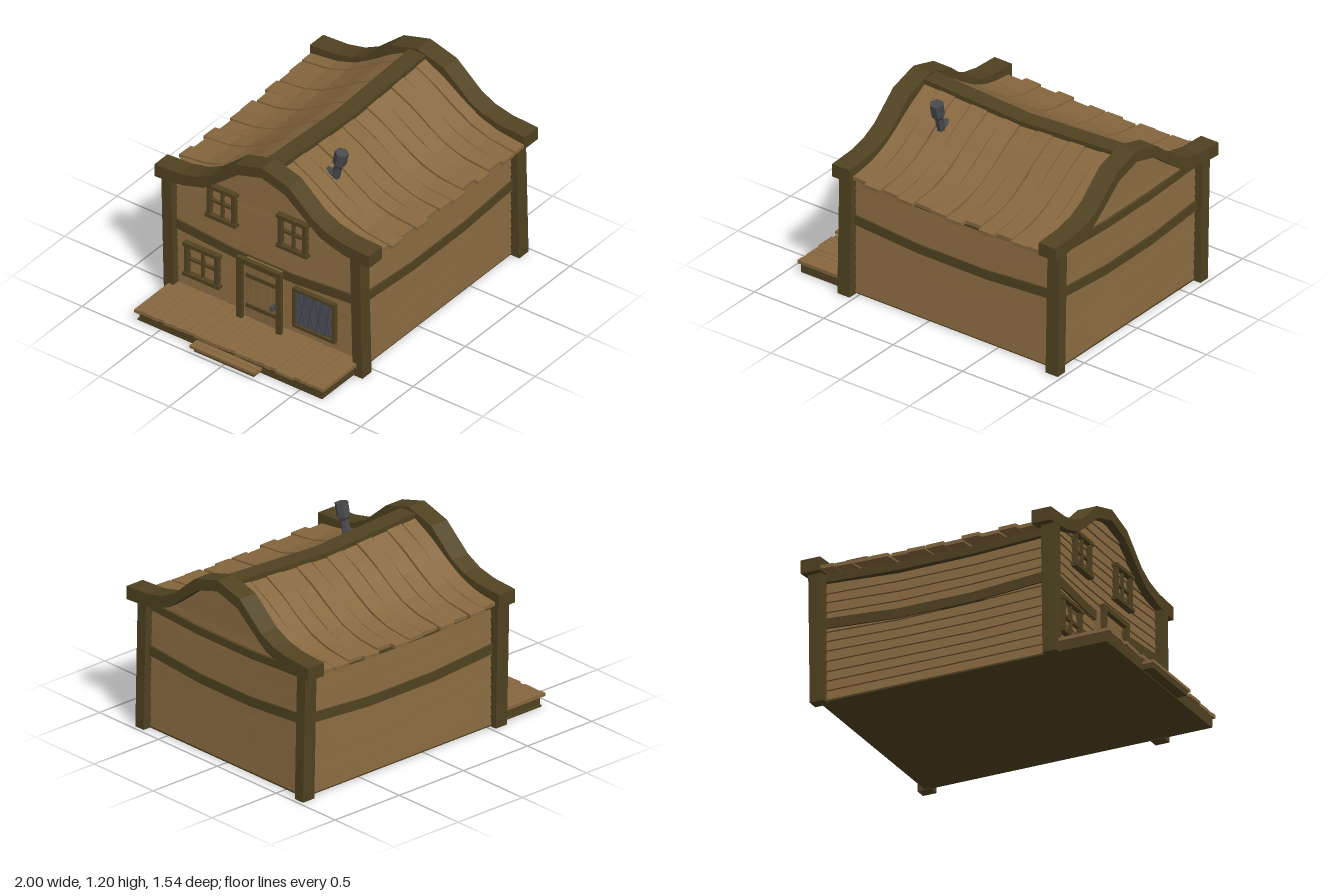
import * as THREE from 'three';

const mat = (name, color) => Object.assign(new THREE.MeshStandardMaterial({ color }), { name });
const wood = mat('plank wood', 0x87683f);
const timber = mat('dark timber', 0x514321);
const gap = mat('shadow gap', 0x2e2412);
const iron = mat('iron', 0x48494c);
const slate = mat('slate glass', 0x4d5260);

const CX = 0.18; // centre of the house body along x

// small seeded random, -1..1
let seed = 11;
const rnd = () => {
  seed = (seed * 16807) % 2147483647;
  return (seed / 2147483647) * 2 - 1;
};

// height of a symmetrical outline at a distance from the ridge
const heightOn = (line) => (z) => {
  const d = Math.min(Math.abs(z), 0.77);
  const i = Math.max(1, line.findIndex((p) => p[0] >= d));
  const [a, b] = [line[i - 1], line[i]];
  return a[1] + ((b[1] - a[1]) * (d - a[0])) / (b[0] - a[0]);
};
// gable trim bulges near the ridge, the planks between the trims lie lower
const trimLine = [[0, 1.175], [0.19, 1.12], [0.37, 0.965], [0.47, 0.915], [0.59, 0.888], [0.77, 0.878]];
const roofLine = [[0, 1.135], [0.05, 1.115], [0.2, 1.035], [0.33, 0.943], [0.45, 0.872], [0.58, 0.829], [0.77, 0.807]];
const trimY = heightOn(trimLine);
const roofY = heightOn(roofLine);
// the ridge sags towards the middle, the eaves less so
const sag = (x, z = 0) => 0.037 * Math.max(0, 1 - Math.abs(x - 0.19) / 0.69) * (1 - 0.65 * Math.abs(z) / 0.77);

function add(parent, name, geo, material, x = 0, y = 0, z = 0) {
  const flat = geo.index ? geo.toNonIndexed() : geo;
  flat.computeVertexNormals();
  const mesh = new THREE.Mesh(flat, material);
  mesh.name = name;
  mesh.position.set(x, y, z);
  parent.add(mesh);
  return mesh;
}
function warp(geo, rule) {
  const p = geo.attributes.position;
  const v = new THREE.Vector3();
  for (let i = 0; i < p.count; i++) {
    rule(v.fromBufferAttribute(p, i));
    p.setXYZ(i, v.x, v.y, v.z);
  }
  return geo;
}
// box given by its limits
function block(parent, name, m, x0, x1, y0, y1, z0, z1) {
  return add(parent, name, new THREE.BoxGeometry(x1 - x0, y1 - y0, z1 - z0), m,
    (x0 + x1) / 2, (y0 + y1) / 2, (z0 + z1) / 2);
}
// solid across the house from a (z, y) outline, running along x
function across(points, depth, x, steps = 1) {
  const shape = new THREE.Shape(points.map((p) => new THREE.Vector2(...p)));
  return new THREE.ExtrudeGeometry(shape, { depth, steps, bevelEnabled: false }).rotateY(Math.PI / 2).translate(x, 0, 0);
}
// full outline from one eave over the ridge to the other
const mirrored = (half) => [...half.slice(1).reverse().map(([z, y]) => [-z, y]), ...half];

// long board in three stretches between a lower and an upper edge of four heights;
// lap pushes its lower edge out
function board(parent, name, m, half, lower, upper, z0, z1, lap = 0) {
  const geo = warp(new THREE.BoxGeometry(half * 2, 1, z1 - z0, 3, 1, 1), (v) => {
    const i = Math.round((v.x / half + 1) * 1.5);
    if (v.y < 0 && v.z > 0) v.z += lap;
    v.y = v.y < 0 ? lower[i] : upper[i];
  });
  return add(parent, name, geo, m, 0, 0, (z0 + z1) / 2);
}
// edge that drops in the middle
const edge = (y, dip, wobble = 0) => [0, dip, dip, 0].map((d) => y - d + rnd() * wobble);

// one wall, facing local +z
function wall(name, half, z, turn, gable, topBeam) {
  const g = new THREE.Group();
  g.name = name;
  g.position.x = CX;
  g.rotation.y = turn;
  const rows = Array.from({ length: 13 }, (_, i) => 0.012 + i * 0.0617);
  if (gable) rows.push(0.8, 0.845, 0.91, 0.975, 1.04, 1.105);
  const edges = rows.map((y) => edge(y, y < 0.78 ? y * 0.035 : 0.006, y > 0.1 ? 0.005 : 0.001));
  for (let i = 1; i < rows.length; i++) {
    let w = half;
    while (trimY(w) < rows[i] + 0.008) w -= 0.005;
    board(g, 'wallPlank', wood, w, edges[i - 1].map((y) => y + 0.002), edges[i].map((y) => y - 0.002),
      z - 0.03, z - 0.003, 0.008);
  }
  board(g, 'middleBeam', timber, half, edge(0.466, 0.034), edge(0.528, 0.036), z - 0.02, z + 0.015);
  if (topBeam) board(g, 'topBeam', timber, half, edge(0.757, 0.022), edge(0.808, 0.024), z - 0.02, z + 0.015);
  return g;
}

// framed window with cross bars, in the wall's local frame
function windowFrame(parent, name, x, y, w, h, z) {
  const g = new THREE.Group();
  g.name = name;
  g.position.set(x, y, z);
  const t = 0.024;
  for (const s of [-1, 1]) {
    add(g, 'frameSide', new THREE.BoxGeometry(t, h, 0.045), timber, s * (w - t) / 2, 0, 0.01);
    add(g, 'frameRail', new THREE.BoxGeometry(w + 0.02, t, 0.055), timber, 0, s * (h - t) / 2, 0.01);
  }
  add(g, 'uprightBar', new THREE.BoxGeometry(0.016, h, 0.03), timber, 0, 0, 0.006);
  add(g, 'crossBar', new THREE.BoxGeometry(w, 0.016, 0.03), timber, 0, 0, 0.006);
  parent.add(g);
}

// door, windows and lattice on the entrance wall
function entrance(g, z) {
  for (const s of [-1, 1]) {
    block(g, 'doorPost', timber, s * 0.14 - 0.018, s * 0.14 + 0.018, 0.085, 0.51, z + 0.055, z + 0.083);
    for (let i = 0; i < 2; i++) {
      const x = s * (0.033 + i * 0.064);
      block(g, 'doorPlank', wood, x - 0.03, x + 0.03, 0.085, 0.485, z, z + 0.045);
    }
  }
  block(g, 'doorBacking', gap, -0.125, 0.125, 0.085, 0.48, z, z + 0.035);
  block(g, 'doorLintel', timber, -0.16, 0.16, 0.475, 0.51, z + 0.055, z + 0.085);
  for (const y of [0.17, 0.38]) block(g, 'doorBrace', timber, -0.115, 0.115, y - 0.013, y + 0.013, z + 0.04, z + 0.052);
  block(g, 'doorHandle', iron, 0.09, 0.108, 0.235, 0.265, z + 0.04, z + 0.094);

  windowFrame(g, 'lowerWindow', -0.45, 0.29, 0.24, 0.23, z);
  windowFrame(g, 'upperWindow', -0.31, 0.77, 0.2, 0.23, z);
  windowFrame(g, 'upperWindow', 0.2, 0.77, 0.2, 0.23, z);

  block(g, 'latticePane', slate, 0.21, 0.5, 0.14, 0.41, z + 0.006, z + 0.013);
  for (const x of [0.213, 0.497]) block(g, 'latticeFrame', timber, x - 0.01, x + 0.01, 0.14, 0.41, z - 0.01, z + 0.03);
  for (const y of [0.149, 0.401]) block(g, 'latticeFrame', timber, 0.203, 0.507, y - 0.01, y + 0.01, z - 0.01, z + 0.03);
  for (let i = 0; i < 4; i++) {
    for (const s of [-1, 1]) {
      const bar = add(g, 'latticeBar', new THREE.BoxGeometry(0.009, 0.25, 0.01), iron, 0.265 + i * 0.06, 0.275, z + 0.016);
      bar.rotation.z = s * 0.2;
    }
  }
}

export function createModel() {
  const house = new THREE.Group();
  house.name = 'timberHouse';

  // dark core and gable backs seen between the planks
  const coreLine = mirrored([...roofLine.slice(0, 6), [0.643, 0.821]].map(([z, y]) => [z, y - 0.018]));
  const core = across([[0.643, 0.012], [-0.643, 0.012], ...coreLine], 1.46, -0.55, 10);
  warp(core, (v) => { if (v.y > 0.7) v.y -= sag(v.x, v.z); });
  add(house, 'core', core, gap);
  const backLine = mirrored([...trimLine.slice(0, 5), [0.643, 0.885]].map(([z, y]) => [z, y - 0.04]));
  for (const x of [-0.55, 0.895]) {
    add(house, 'gableBack', across([[0.643, 0.7], [-0.643, 0.7], ...backLine], 0.015, x), gap);
  }
  block(house, 'floorSlab', timber, -0.92, 0.93, 0.004, 0.014, -0.662, 0.662);

  // four walls
  house.add(wall('frontWall', 0.735, 0.66, 0, false, true));
  house.add(wall('backWall', 0.735, 0.66, Math.PI, false, true));
  house.add(wall('leftWall', 0.645, 0.745, Math.PI / 2, true, true));
  const door = wall('entranceWall', 0.645, 0.745, -Math.PI / 2, true, false);
  entrance(door, 0.745);
  house.add(door);

  // leaning corner posts
  for (const x of [-0.57, 0.932]) {
    for (const s of [-1, 1]) {
      const post = warp(new THREE.BoxGeometry(0.088, 0.83, 0.07), (v) => { v.z -= v.y * 0.024; });
      add(house, 'cornerPost', post, timber, x, 0.415, s * 0.677);
    }
  }

  // curved gable trims
  const under = [[0, 1.105], [0.17, 1.055], [0.32, 0.935], [0.42, 0.86], [0.57, 0.815], [0.69, 0.8], [0.77, 0.795]];
  for (const x of [-0.615, 0.875]) {
    add(house, 'gableTrim', across([...mirrored(trimLine), ...mirrored(under).reverse()], 0.125, x), timber);
  }

  // roof planks, each running over the ridge from eave to eave
  const reach = [0.735, 0.765, 0.745, 0.768, 0.74, 0.755, 0.765, 0.735, 0.766, 0.75, 0.765, 0.765];
  const pitch = 0.1175;
  reach.forEach((len, i) => {
    const x0 = -0.505 + i * pitch;
    const lift = (i % 2) * 0.005;
    const geo = new THREE.BoxGeometry(pitch - 0.007, 0.022, 2, 1, 1, 24);
    warp(geo, (v) => {
      const x = x0 + pitch / 2 + v.x;
      v.x = x + 0.002 * Math.sin(v.z * 9 + i * 2);
      v.z *= len;
      v.y += roofY(v.z) + lift - sag(x, v.z);
    });
    add(house, 'roofPlank', geo, wood);
  });

  // sagging ridge beam with a flat top
  const ridge = warp(new THREE.BoxGeometry(1.38, 0.034, 0.112, 2, 1, 1), (v) => {
    v.x += 0.19;
    v.y += 1.137 - sag(v.x);
  });
  add(house, 'ridgeBeam', ridge, timber);

  // crooked stove pipe
  const pipe = (name, r0, r1, a, b) => {
    const [p, q] = [new THREE.Vector3(-0.23, ...a), new THREE.Vector3(-0.23, ...b)];
    const d = q.clone().sub(p);
    const geo = new THREE.CylinderGeometry(r1, r0, d.length(), 6).rotateY(Math.PI / 6);
    const mesh = add(house, name, geo, iron, ...p.clone().add(q).multiplyScalar(0.5));
    mesh.quaternion.setFromUnitVectors(new THREE.Vector3(0, 1, 0), d.normalize());
  };
  pipe('pipeElbow', 0.026, 0.026, [1.02, 0.17], [1.025, 0.255]);
  pipe('pipeStem', 0.026, 0.026, [1.0, 0.24], [1.1, 0.266]);
  pipe('pipeCollar', 0.026, 0.041, [1.085, 0.262], [1.107, 0.268]);
  pipe('pipeCap', 0.041, 0.042, [1.107, 0.268], [1.19, 0.287]);

  // porch deck of narrow boards on a base
  block(house, 'porchBase', timber, -0.92, -0.55, 0.01, 0.068, -0.65, 0.665);
  const boards = 32, bw = 1.35 / boards;
  for (let i = 0; i < boards; i++) {
    const z = -0.67 + i * bw;
    block(house, 'porchBoard', wood, -0.937 + rnd() * 0.007, -0.56, 0.066, 0.087 + rnd() * 0.002, z + 0.001, z + bw - 0.001);
  }

  // step in front of the deck
  block(house, 'stepBase', timber, -0.985, -0.91, 0.01, 0.036, -0.21, 0.22);
  block(house, 'stepBoard', wood, -1, -0.969, 0.034, 0.052, -0.23, 0.235);
  block(house, 'stepBoard', wood, -0.966, -0.93, 0.034, 0.052, -0.23, 0.24);
  return house;
}
